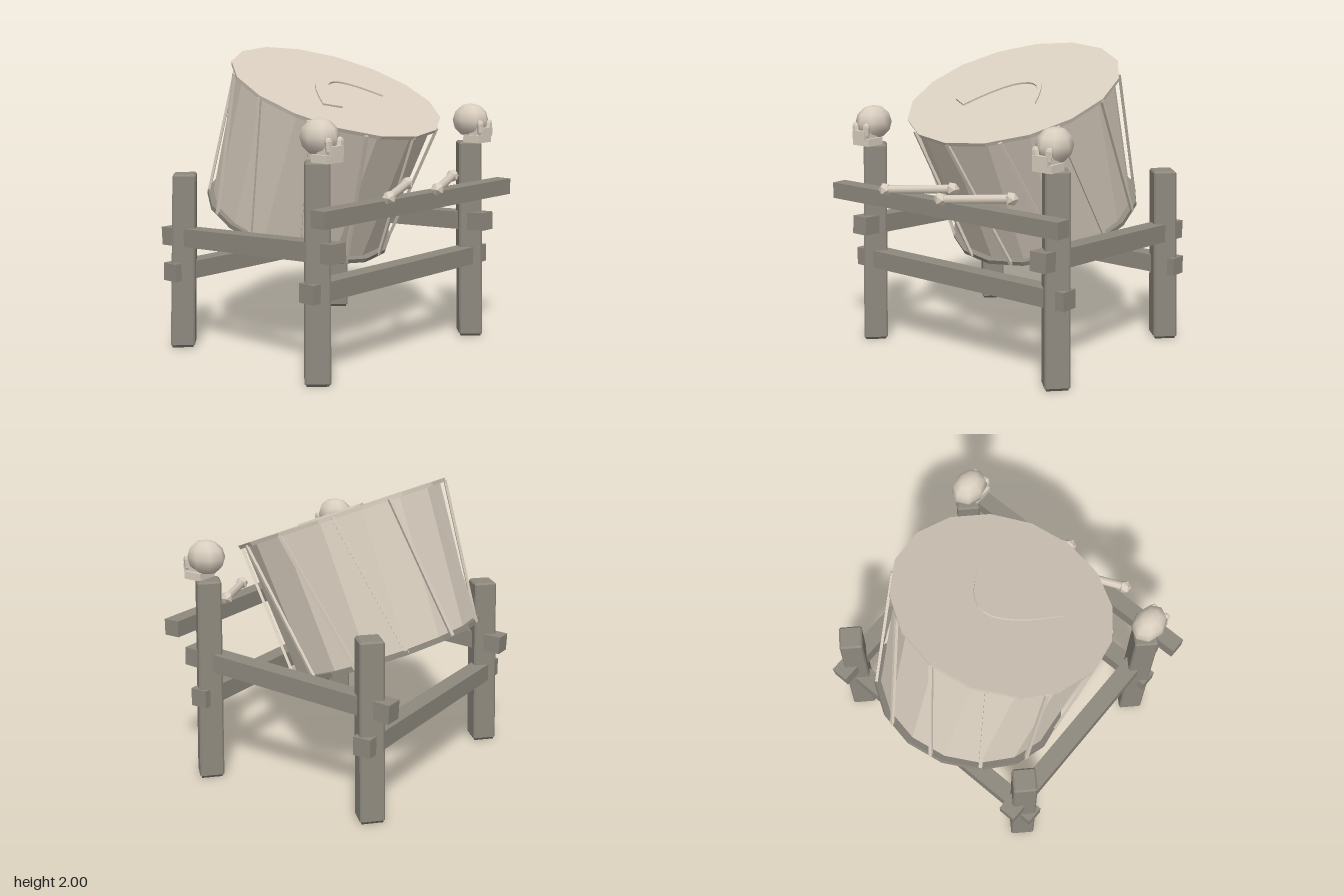
import * as THREE from 'three';

const mat = (name, color, flatShading = true) => {
  const m = new THREE.MeshStandardMaterial({ color, flatShading });
  m.name = name;
  return m;
};

export function createModel() {
  const wood = mat('weathered wood', 0x8e897e);
  const darkWood = mat('dark underside wood', 0x4e4c47);
  const hide = mat('pale hide', 0xd9cebf);
  const bone = mat('bone', 0xd9cebf);
  const boneSmooth = mat('smooth bone', 0xd9cebf, false);
  const railMaterials = [wood, wood, wood, darkWood, wood, wood];

  const model = new THREE.Group();
  model.name = 'drumOnStand';

  const add = (parent, name, geo, material, x = 0, y = 0, z = 0) => {
    const m = new THREE.Mesh(geo, material);
    m.name = name;
    m.position.set(x, y, z);
    parent.add(m);
    return m;
  };
  const box = (parent, name, material, w, h, d, x, y, z) =>
    add(parent, name, new THREE.BoxGeometry(w, h, d), material, x, y, z);

  // Posts: chamfered square turned 45 degrees, tapering and leaning inwards, on a dark foot plate
  const post = (name, height, x, z, leanX, leanZ) => {
    const h = 0.069, c = 0.004, b = 0.012, foot = 0.006;
    const s = new THREE.Shape([
      [h - c, -h], [h, c - h], [h, h - c], [h - c, h],
      [c - h, h], [-h, h - c], [-h, c - h], [c - h, -h],
    ].map(p => new THREE.Vector2(...p)));
    const geo = new THREE.ExtrudeGeometry(s, {
      depth: height - 2 * b - foot, bevelEnabled: true, bevelSize: b, bevelThickness: b, bevelSegments: 1,
    });
    geo.translate(0, 0, b + foot).rotateX(-Math.PI / 2).rotateY(Math.PI / 4);
    const p = geo.attributes.position;
    for (let i = 0; i < p.count; i++) {
      const t = p.getY(i) / height, k = 1 - 0.05 * t;
      p.setX(i, p.getX(i) * k + leanX * t);
      p.setZ(i, p.getZ(i) * k + leanZ * t);
    }
    geo.computeVertexNormals();
    add(model, name, geo, wood, x, 0, z);
    const plate = box(model, name + 'Foot', darkWood, 2 * h, foot, 2 * h, x, foot / 2, z);
    plate.rotation.y = Math.PI / 4;
  };

  // Skull finial: rounded cranium, snout, jaw and two cheek bars
  const skull = (name, x) => {
    const g = new THREE.Group();
    g.name = name;
    g.position.set(x, 1.36, 0.61);
    model.add(g);
    const cranium = add(g, 'cranium', new THREE.SphereGeometry(1, 8, 6), boneSmooth, 0, 0.15, 0);
    cranium.scale.set(0.106, 0.115, 0.135);
    box(g, 'snout', bone, 0.11, 0.06, 0.12, 0, 0.075, 0.085);
    box(g, 'jaw', bone, 0.145, 0.05, 0.13, 0, 0.028, 0.06);
    for (const side of [-1, 1]) {
      const bar = add(g, 'cheekBar', new THREE.CapsuleGeometry(0.023, 0.06, 2, 6), bone,
        side * 0.047, 0.105, 0.118);
      bar.rotation.z = -side * 0.12;
    }
  };

  for (const [side, label] of [[1, 'left'], [-1, 'right']]) {
    post(label + 'FrontPost', 1.365, side * 0.783, 0.615, -side * 0.02, -0.02);
    post(label + 'BackPost', 1.18, side * 0.775, -0.645, -side * 0.02, 0.022);
    skull(label + 'Skull', side * 0.758);
    // Sloping side rail through both posts
    const rail = box(model, label + 'SideRail', railMaterials, 0.12, 0.122, 1.57, side * 0.757, 0.783, -0.015);
    rail.rotation.x = -0.053;
  }

  // Cross rails and the stick rest
  box(model, 'frontRail', railMaterials, 1.765, 0.12, 0.12, 0, 0.575, 0.615);
  box(model, 'backRail', railMaterials, 1.765, 0.12, 0.12, 0, 0.52, -0.647);
  box(model, 'stickRest', railMaterials, 1.89, 0.107, 0.11, 0, 1.052, 0.767);

  // Tilted drum
  const H = 0.964;
  const drum = new THREE.Group();
  drum.name = 'drum';
  drum.position.set(0, 0.835, -0.295);
  drum.rotation.x = 0.38;
  model.add(drum);
  add(drum, 'shell', new THREE.CylinderGeometry(0.685, 0.62, H - 0.04, 16, 1, true), hide, 0, H / 2, 0);
  // Material order: side, upper face, lower face
  add(drum, 'drumhead', new THREE.CylinderGeometry(0.725, 0.72, 0.025, 16), [hide, hide, wood], 0, H - 0.0125, 0);
  add(drum, 'bottomHoop', new THREE.CylinderGeometry(0.662, 0.66, 0.03, 16), [wood, wood, darkWood], 0, 0.015, 0);

  // Slanted tension cords, each shifted half a step between head and hoop
  const around = (a, r, y) => new THREE.Vector3(Math.sin(a) * r, y, Math.cos(a) * r);
  for (let i = 0; i < 12; i++) {
    const a = i * Math.PI / 6;
    const top = around(a, 0.715, H - 0.015), bottom = around(a + Math.PI / 12, 0.65, 0.01);
    const dir = top.clone().sub(bottom), length = dir.length();
    dir.normalize();
    const side = dir.clone().cross(around(a + Math.PI / 24, 1, 0)).normalize();
    const out = side.clone().cross(dir);
    const cord = box(drum, 'cord', hide, 0.024, length, 0.018, 0, 0, 0);
    cord.position.copy(top).add(bottom).multiplyScalar(0.5);
    cord.quaternion.setFromRotationMatrix(new THREE.Matrix4().makeBasis(side, dir, out));
  }

  // Raised horn mark on the drumhead
  const horn = new THREE.Shape();
  horn.moveTo(-0.34, -0.2);
  horn.bezierCurveTo(-0.2, 0.04, -0.07, 0.175, 0.03, 0.175);
  horn.bezierCurveTo(0.14, 0.175, 0.22, 0.06, 0.3, -0.155);
  horn.bezierCurveTo(0.22, 0.01, 0.15, 0.1, 0.07, 0.1);
  horn.bezierCurveTo(-0.04, 0.1, -0.13, -0.03, -0.22, -0.265);
  horn.closePath();
  const hornGeo = new THREE.ExtrudeGeometry(horn, { depth: 0.016, bevelEnabled: false, curveSegments: 6 });
  add(drum, 'hornMark', hornGeo.rotateX(-Math.PI / 2), hide, 0, H - 0.004, 0);

  // Drumsticks lying on the rest
  for (const x of [-0.41, 0.07]) {
    const g = new THREE.Group();
    g.name = 'drumstick';
    model.add(g);
    const a = new THREE.Vector3(x, 1.132, 0.862), b = new THREE.Vector3(x + 0.41, 1.158, 0.672);
    const dir = b.clone().sub(a);
    const shaft = add(g, 'shaft', new THREE.CylinderGeometry(0.028, 0.028, dir.length(), 8), boneSmooth);
    shaft.position.copy(a).add(b).multiplyScalar(0.5);
    shaft.quaternion.setFromUnitVectors(new THREE.Vector3(0, 1, 0), dir.normalize());
    for (const p of [a, b]) {
      add(g, 'knob', new THREE.IcosahedronGeometry(0.046, 0), bone, p.x, p.y, p.z);
    }
  }
  return model;
}
